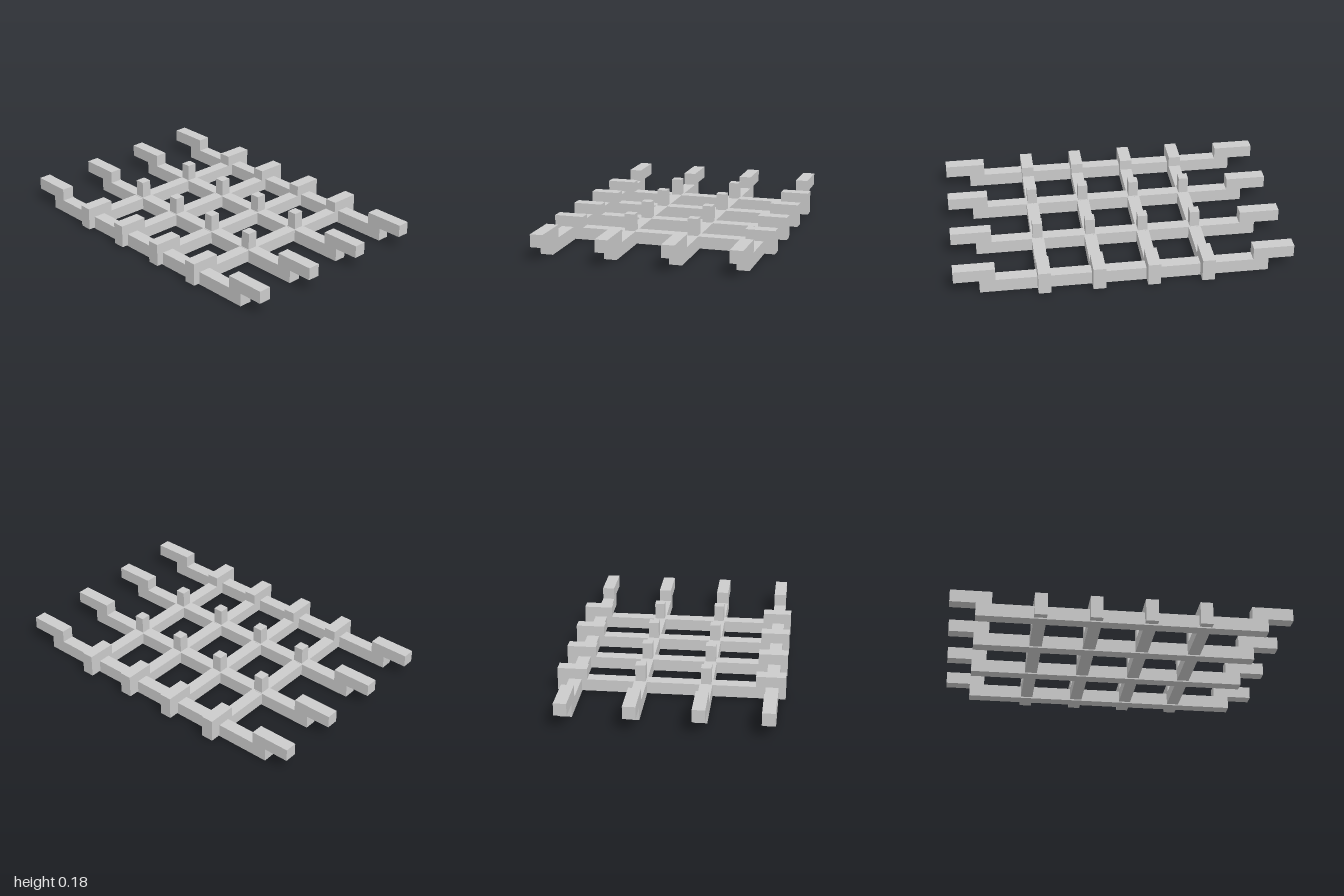
import * as THREE from 'three';

const material = new THREE.MeshStandardMaterial({ color: 0xcccccc, flatShading: true });

// Extrudes a side profile [along, y] to a bar of the given width, centred on its axis
function profileBar(points, width) {
  const shape = new THREE.Shape(points.map(([a, y]) => new THREE.Vector2(a, y)));
  const geometry = new THREE.ExtrudeGeometry(shape, { depth: width, bevelEnabled: false });
  return geometry.translate(0, 0, -width / 2);
}

export function createModel() {
  const group = new THREE.Group();
  const add = (name, geometry, x, y, z) => {
    const mesh = new THREE.Mesh(geometry, material);
    mesh.name = name;
    mesh.position.set(x, y, z);
    group.add(mesh);
  };

  const rowZ = [-0.565, -0.18, 0.205, 0.59];
  const columnX = [-0.48, -0.16, 0.16, 0.478];

  // Long beams with raised ends that overhang the base
  const longBeam = profileBar([
    [-0.85, 0], [0.85, 0], [0.85, 0.08], [1, 0.08], [1, 0.155], [0.756, 0.155],
    [0.756, 0.08], [-0.758, 0.08], [-0.758, 0.155], [-1, 0.155], [-1, 0.08], [-0.85, 0.08],
  ], 0.075);
  rowZ.forEach((z, i) => add(`longBeam${i + 1}`, longBeam, 0, 0, z));

  // Cross beams with taller end blocks that lock over the outer long beams
  const crossBeam = profileBar([
    [-0.67, 0.008], [0.67, 0.008], [0.67, 0.145], [0.495, 0.145],
    [0.495, 0.0795], [-0.495, 0.0795], [-0.495, 0.145], [-0.67, 0.145],
  ], 0.074).rotateY(-Math.PI / 2);
  columnX.forEach((x, i) => add(`crossBeam${i + 1}`, crossBeam, x, 0, 0));

  // Short pegs on the inner crossings
  const peg = new THREE.BoxGeometry(0.059, 0.111, 0.061);
  for (const x of columnX) {
    for (const z of rowZ.slice(1, 3)) add('peg', peg, x, 0.1255, z);
  }
  return group;
}
